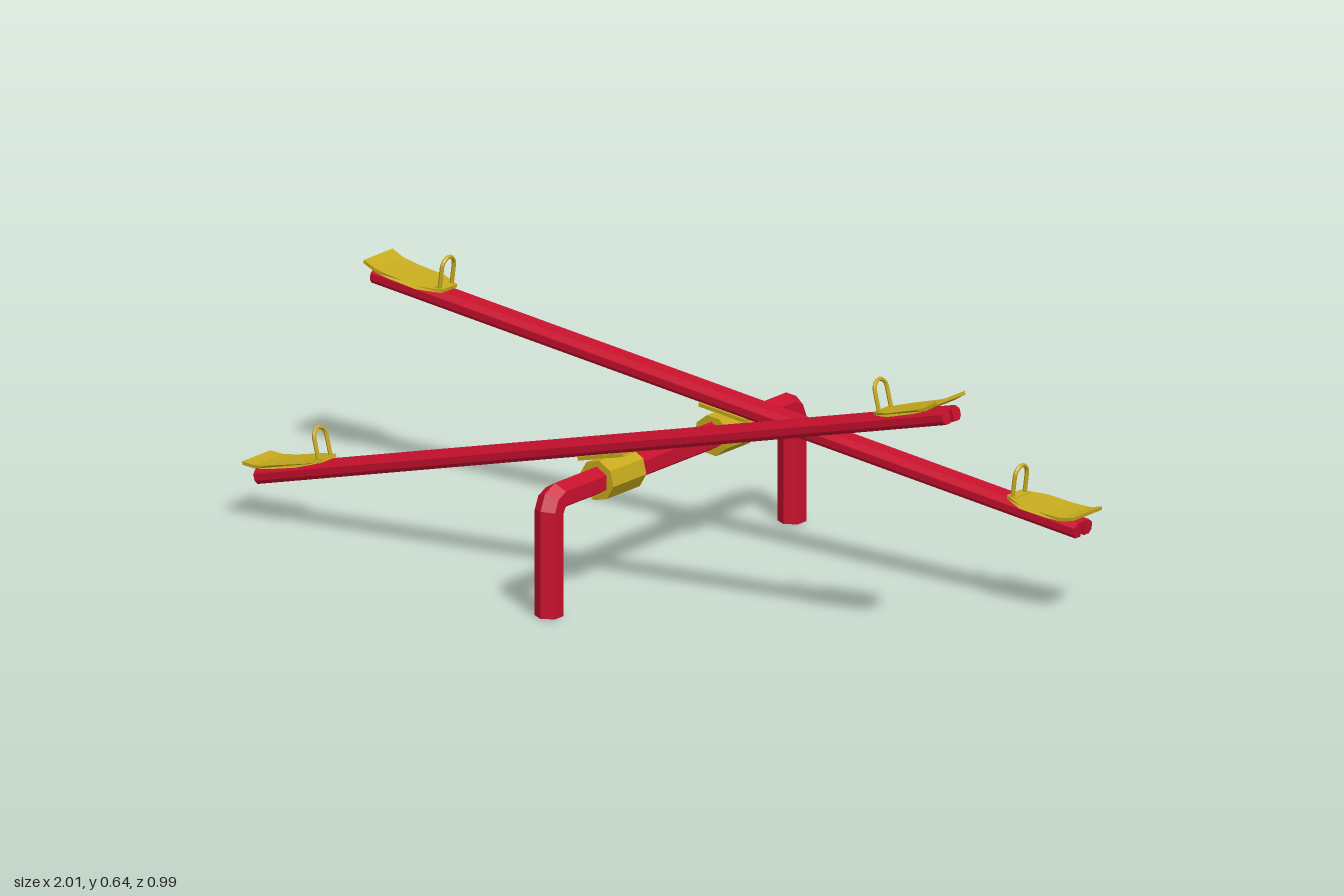
import * as THREE from 'three';

const red = new THREE.MeshStandardMaterial({ color: 0xc8102e });
red.name = 'red paint';
const yellow = new THREE.MeshStandardMaterial({ color: 0xc6aa1e });
yellow.name = 'yellow paint';

const PIVOT = { x: -0.007, y: 0.275 };
const BEAM_BOTTOM = 0.052, BEAM_TOP = 0.088;

// Faceted copy of a geometry
function flat(geometry) {
  const g = geometry.index ? geometry.toNonIndexed() : geometry;
  g.computeVertexNormals();
  return g;
}

function addMesh(parent, name, geometry, material) {
  const mesh = new THREE.Mesh(flat(geometry), material);
  mesh.name = name;
  parent.add(mesh);
  return mesh;
}

function shapeFrom(points) {
  return new THREE.Shape(points.map(([x, y]) => new THREE.Vector2(x, y)));
}

// Hexagonal pipe swept along a path in the y-z plane, with mitred bends
function hexPipe(path, radius) {
  const pts = path.map(([z, y]) => new THREE.Vector3(0, y, z));
  const xAxis = new THREE.Vector3(1, 0, 0);
  const position = [], index = [], last = pts.length - 1;
  pts.forEach((p, i) => {
    const before = p.clone().sub(pts[Math.max(i - 1, 0)]).normalize();
    const after = pts[Math.min(i + 1, last)].clone().sub(p).normalize();
    const tangent = before.clone().add(after).normalize();
    const miter = 1 / tangent.dot(i < last ? after : before);
    const normal = xAxis.clone().cross(tangent);
    for (let k = 0; k < 6; k++) {
      const a = (k * Math.PI) / 3;
      const v = p.clone().addScaledVector(normal, Math.cos(a) * radius * miter)
        .addScaledVector(xAxis, Math.sin(a) * radius);
      position.push(v.x, v.y, v.z);
    }
  });
  for (let i = 0; i < last; i++) {
    for (let k = 0; k < 6; k++) {
      const a = i * 6 + k, b = i * 6 + ((k + 1) % 6);
      index.push(a, b, b + 6, a, b + 6, a + 6);
    }
  }
  // End caps
  for (let k = 1; k < 5; k++) {
    index.push(0, k + 1, k, last * 6, last * 6 + k, last * 6 + k + 1);
  }
  const g = new THREE.BufferGeometry();
  g.setAttribute('position', new THREE.Float32BufferAttribute(position, 3));
  g.setIndex(index);
  return g;
}

// Beam: chamfered top, narrow groove along the underside
function beamGeometry() {
  const b = BEAM_BOTTOM, t = BEAM_TOP, length = 1.99;
  const half = [[0.004, t - 0.005], [0.007, b], [0.026, b], [0.034, b + 0.009], [0.034, t - 0.011], [0.02, t]];
  const mirrored = half.map(([x, y]) => [-x, y]).reverse();
  const g = new THREE.ExtrudeGeometry(shapeFrom([...half, ...mirrored]), { depth: length, bevelEnabled: false });
  g.translate(0, 0, -length / 2);
  g.rotateY(Math.PI / 2);
  return g;
}

// Seat: thin plate with an upturned outer lip, tapered towards the handle
function seatGeometry() {
  const t = BEAM_TOP;
  const top = [[0.8, 0.008], [0.855, 0.007], [0.93, 0.009], [0.97, 0.013], [1.003, 0.024]];
  const under = top.map(([x, y]) => [x, y - 0.008]).reverse();
  const outline = [...under, ...top].map(([x, y]) => [x, y + t]);
  const g = new THREE.ExtrudeGeometry(shapeFrom(outline), { depth: 1, bevelEnabled: false });
  const p = g.attributes.position;
  for (let i = 0; i < p.count; i++) {
    const widen = THREE.MathUtils.clamp((p.getX(i) - 0.8) / 0.055, 0, 1);
    p.setZ(i, (p.getZ(i) - 0.5) * THREE.MathUtils.lerp(0.058, 0.11, widen));
  }
  return g;
}

// Handle: upright arch of thin rod
function handleGeometry() {
  const w = 0.023, base = BEAM_TOP, shoulder = base + 0.055;
  const path = new THREE.CurvePath();
  const at = (y, z) => new THREE.Vector3(0.81, y, z);
  const arc = [];
  for (let i = 0; i <= 8; i++) {
    const a = (i * Math.PI) / 8;
    arc.push(at(shoulder + w * Math.sin(a), -w * Math.cos(a)));
  }
  const points = [at(base, -w), ...arc, at(base, w)];
  for (let i = 0; i < points.length - 1; i++) path.add(new THREE.LineCurve3(points[i], points[i + 1]));
  return new THREE.TubeGeometry(path, 26, 0.005, 6, false);
}

// One rocking beam with its pivot clamp, seats and handles
function makeSeesaw(name, z, angle) {
  const seesaw = new THREE.Group();
  seesaw.name = name;
  addMesh(seesaw, 'beam', beamGeometry(), red);

  const clamp = new THREE.CylinderGeometry(0.048, 0.048, 0.126, 8);
  clamp.rotateX(Math.PI / 2);
  clamp.rotateZ(Math.PI / 8);
  addMesh(seesaw, 'pivotClamp', clamp, yellow);

  const saddle = new THREE.BoxGeometry(0.13, 0.009, 0.066);
  saddle.translate(0, BEAM_BOTTOM - 0.004, 0);
  addMesh(seesaw, 'saddlePlate', saddle, yellow);

  for (const turn of [0, Math.PI]) {
    const end = new THREE.Group();
    end.name = turn ? 'rightSeatSet' : 'leftSeatSet';
    end.rotation.y = turn;
    addMesh(end, 'seat', seatGeometry(), yellow);
    addMesh(end, 'handle', handleGeometry(), yellow);
    const foot = new THREE.BoxGeometry(0.024, 0.008, 0.056);
    foot.translate(0.81, BEAM_TOP + 0.005, 0);
    addMesh(end, 'handleFoot', foot, yellow);
    seesaw.add(end);
  }
  seesaw.position.set(PIVOT.x, PIVOT.y, z);
  seesaw.rotation.z = angle;
  return seesaw;
}

export function createModel() {
  const model = new THREE.Group();
  model.name = 'doubleSeesaw';

  // Bent support frame: leg, crossbar, leg
  const side = [[0.464, 0], [0.464, 0.246], [0.455, 0.266], [0.435, 0.275]];
  const path = [...side, ...side.map(([z, y]) => [-z, y]).reverse()];
  addMesh(model, 'supportFrame', hexPipe(path, 0.033), red).position.x = PIVOT.x;

  model.add(makeSeesaw('frontSeesaw', 0.22, THREE.MathUtils.degToRad(14)));
  model.add(makeSeesaw('backSeesaw', -0.219, THREE.MathUtils.degToRad(-7.35)));
  return model;
}
